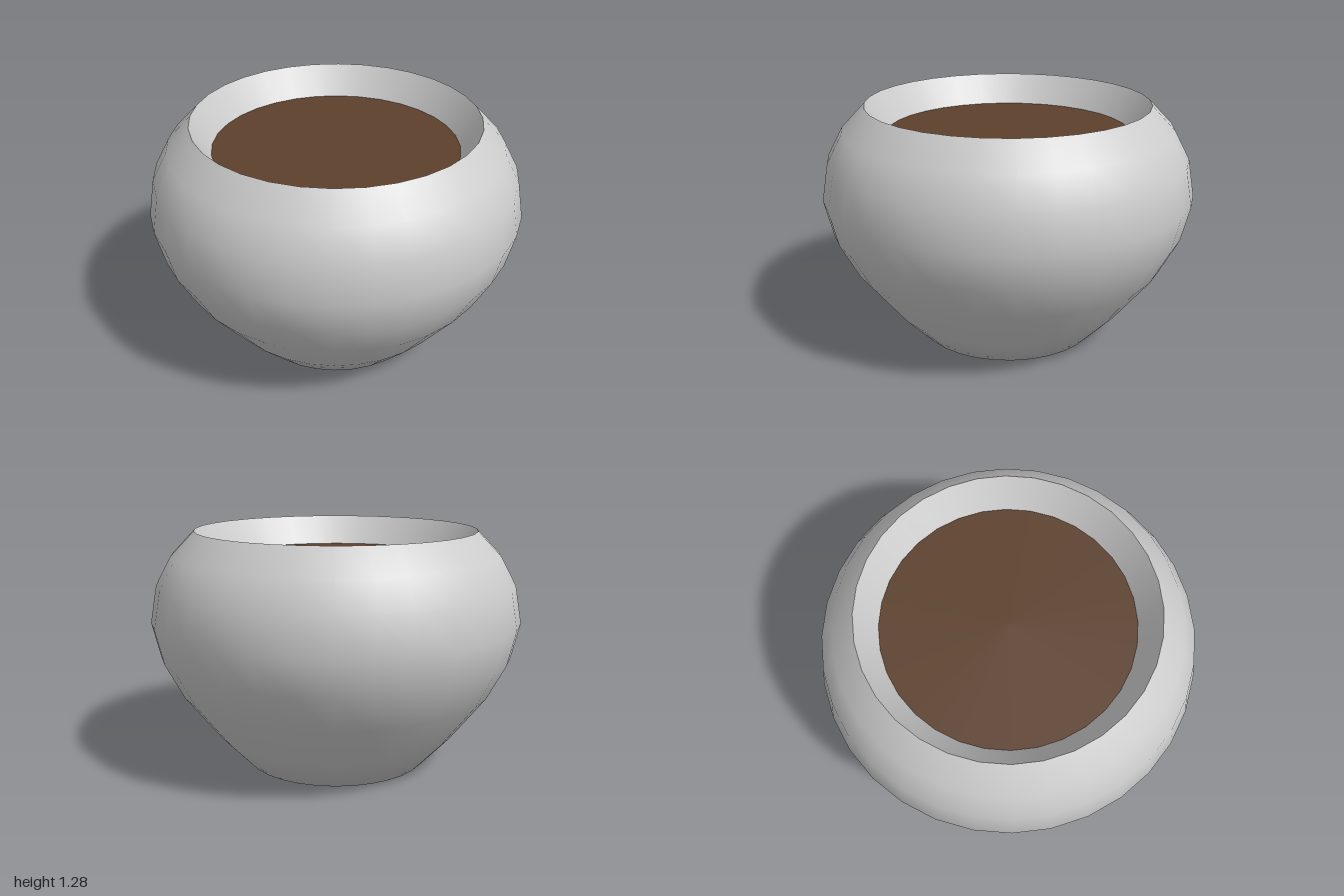
import * as THREE from 'three';

const SEGMENTS = 32;

export function createModel() {
  const group = new THREE.Group();
  group.name = 'plantPot';

  const clay = new THREE.MeshStandardMaterial({ color: 0xcccccc });
  const earth = new THREE.MeshStandardMaterial({ color: 0x5c402c });

  const addPart = (name, geometry, material) => {
    const mesh = new THREE.Mesh(geometry, material);
    mesh.name = name;
    group.add(mesh);
    return mesh;
  };
  const lathe = (points) =>
    new THREE.LatheGeometry(points.map(([r, y]) => new THREE.Vector2(r, y)), SEGMENTS);

  // Closed base and rounded belly, up to the sharp rim
  addPart('potBody', lathe([
    [0, 0], [0.5, 0], [0.66, 0.17], [0.855, 0.42], [0.955, 0.61],
    [1, 0.8], [0.965, 1], [0.885, 1.15], [0.76, 1.28],
  ]), clay);

  // Sloping inner wall, from the rim down to the soil
  addPart('innerWall', lathe([[0.76, 1.28], [0.655, 1.12]]), clay);

  // Flat soil surface
  const soil = new THREE.CircleGeometry(0.655, SEGMENTS).rotateX(-Math.PI / 2);
  addPart('soil', soil, earth).position.y = 1.12;

  return group;
}
